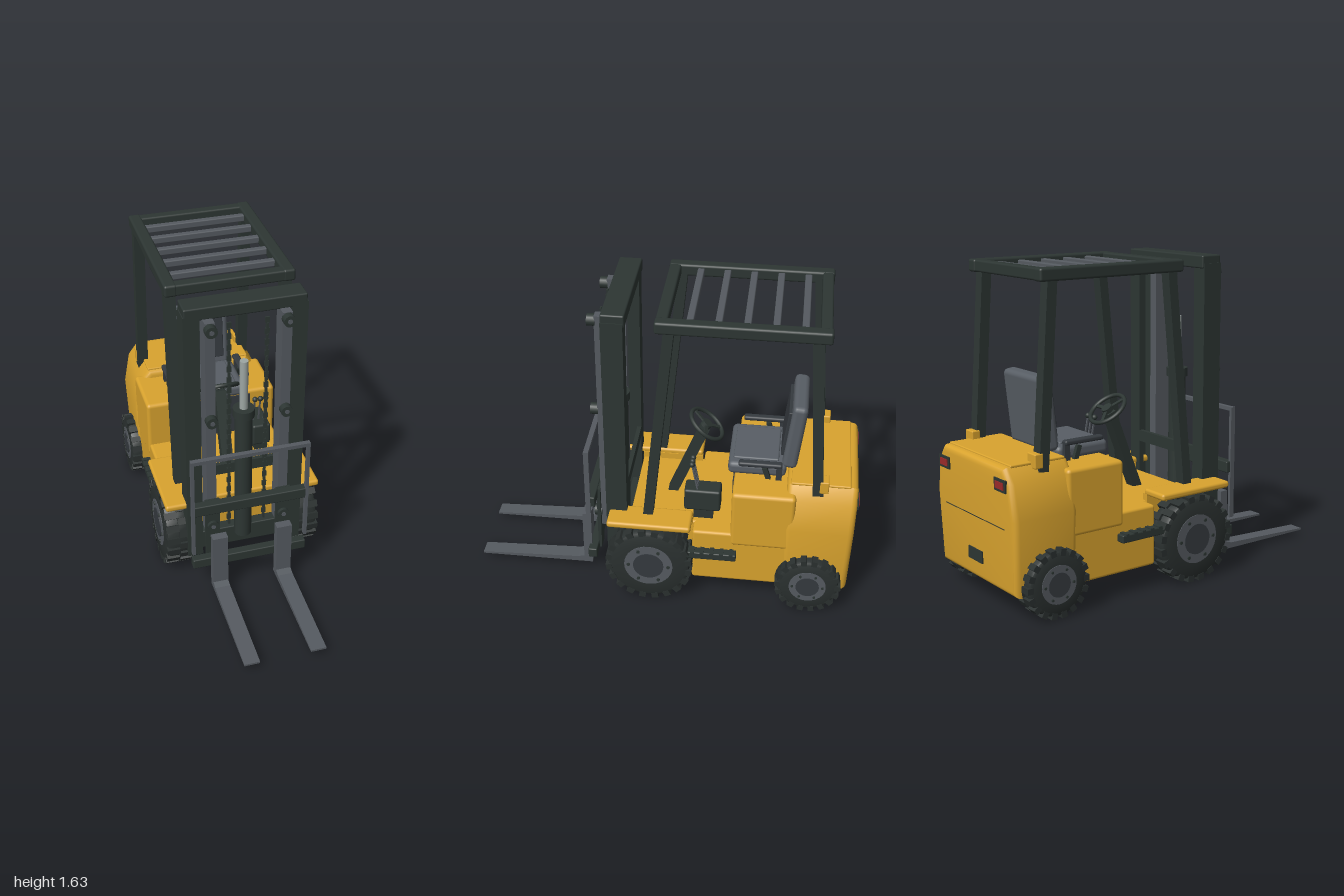
import * as THREE from 'three';
import { RoundedBoxGeometry } from 'three/addons/geometries/RoundedBoxGeometry.js';
import { toCreasedNormals } from 'three/addons/utils/BufferGeometryUtils.js';

const mat = (name, color) => {
  const m = new THREE.MeshStandardMaterial({ color });
  m.name = name;
  return m;
};

export function createModel() {
  const yellow = mat('yellow paint', 0xd9a32e);
  const dark = mat('dark frame', 0x2d3633);
  const rubber = mat('tyre rubber', 0x2a302f);
  const steel = mat('grey steel', 0x555a60);
  const vinyl = mat('seat vinyl', 0x585e65);
  const pad = mat('dark pad', 0x353a3f);
  const chrome = mat('piston rod', 0x9da6a3);
  const red = mat('tail lamp red', 0x9a2a2a);

  const model = new THREE.Group();
  const add = (name, geo, m, x = 0, y = 0, z = 0, parent = model) => {
    const mesh = new THREE.Mesh(geo, m);
    mesh.name = name;
    mesh.position.set(x, y, z);
    parent.add(mesh);
    return mesh;
  };
  // Box given by its limits on each axis, with optional rounded edges
  const box = (name, m, [x0, x1], [y0, y1], [z0, z1], r = 0, parent = model) => {
    const s = [x1 - x0, y1 - y0, z1 - z0];
    const geo = r ? new RoundedBoxGeometry(...s, 2, r) : new THREE.BoxGeometry(...s);
    return add(name, geo, m, (x0 + x1) / 2, (y0 + y1) / 2, (z0 + z1) / 2, parent);
  };
  // Straight bar in a plane of constant x, between two [y, z] points
  const beam = (name, m, x, [y0, z0], [y1, z1], w, d) => {
    const len = Math.hypot(y1 - y0, z1 - z0);
    const b = add(name, new THREE.BoxGeometry(w, len, d), m, x, (y0 + y1) / 2, (z0 + z1) / 2);
    b.rotation.x = Math.atan2(z1 - z0, y1 - y0);
    return b;
  };
  const cyl = (r, h, n = 24) => new THREE.CylinderGeometry(r, r, h, n);
  const both = (fn) => [1, -1].forEach(fn);
  const span = (s, a, b) => (s > 0 ? [a, b] : [-b, -a]);

  // Chassis, engine cover and floor
  box('frontChassis', yellow, [-0.275, 0.275], [0.13, 0.44], [-0.3, 0.17], 0.012);
  box('chassis', yellow, [-0.355, 0.355], [0.13, 0.44], [-0.7, -0.165], 0.015);
  box('engineCover', yellow, [-0.362, 0.362], [0.37, 0.7], [-0.68, -0.36], 0.02);
  box('engineGrille', pad, [-0.22, 0.22], [0.445, 0.68], [-0.362, -0.354]);

  // Counterweight: front outline with tapered shoulders, rear face leaning in at the foot
  const outline = [[0.325, 0.16], [0.34, 0.5], [0.31, 0.66], [0.27, 0.712]];
  const shape = new THREE.Shape();
  shape.moveTo(-0.325, 0.16);
  outline.forEach(([x, y]) => shape.lineTo(x, y));
  outline.slice(1).reverse().forEach(([x, y]) => shape.lineTo(-x, y));
  let cw = new THREE.ExtrudeGeometry(shape, {
    depth: 0.295, bevelEnabled: true, bevelSize: 0.03, bevelThickness: 0.03, bevelSegments: 4,
  });
  cw.translate(0, 0, -0.955);
  const p = cw.attributes.position;
  for (let i = 0; i < p.count; i++) {
    if (p.getZ(i) < -0.8) p.setZ(i, p.getZ(i) + (0.74 - p.getY(i)) * 0.025);
  }
  cw = toCreasedNormals(cw, 0.6);
  add('counterweight', cw, yellow);
  box('counterweightLid', yellow, [-0.29, 0.29], [0.735, 0.75], [-0.945, -0.65], 0.006);
  box('rearPlate', dark, [-0.065, 0.065], [0.225, 0.285], [-0.98, -0.968]);
  box('rearSeam', dark, [-0.28, 0.28], [0.448, 0.452], [-0.979, -0.976]);

  both((s) => {
    box('lampBezel', dark, span(s, 0.215, 0.315), [0.63, 0.69], [-0.99, -0.98]);
    box('tailLamp', red, span(s, 0.23, 0.3), [0.643, 0.677], [-0.994, -0.988]);
    box('pillarMount', yellow, span(s, 0.255, 0.325), [0.72, 0.79], [-0.835, -0.79], 0.006);
    // Fenders and steps
    box('fender', yellow, span(s, 0.255, 0.412), [0.465, 0.5], [-0.16, 0.27], 0.014);
    box('fenderSkirt', yellow, span(s, 0.25, 0.28), [0.42, 0.475], [-0.16, 0.17]);
    box('step', dark, span(s, 0.34, 0.4), [0.295, 0.335], [-0.395, -0.12], 0.006);
    for (let i = 0; i < 5; i++) {
      const z = -0.38 + i * 0.05;
      box('stepRib', dark, span(s, 0.355, 0.405), [0.33, 0.341], [z, z + 0.02]);
    }
  });

  // Wheels: rounded tyre, two staggered rows of lugs, rim with hub and bolts
  const wheel = (name, s, z, R, x0, x1, lugs) => {
    const g = new THREE.Group();
    g.name = name;
    const w = x1 - x0, h = w / 2, r = R - 0.012;
    const prof = [[R * 0.5, -h], [r * 0.9, -h], [r * 0.97, -h * 0.88], [r, -h * 0.65],
      [r, h * 0.65], [r * 0.97, h * 0.88], [r * 0.9, h], [R * 0.5, h]];
    const tyre = new THREE.LatheGeometry(prof.map(([a, b]) => new THREE.Vector2(a, b)), 40);
    add('tyre', toCreasedNormals(tyre, 0.6), rubber, 0, 0, 0, g);
    const lug = new THREE.BoxGeometry(0.032, w * 0.52, Math.PI * R / lugs);
    for (let i = 0; i < lugs * 2; i++) {
      const a = (i / lugs) * Math.PI;
      const m = add('treadLug', lug, rubber, Math.cos(a) * (R - 0.016),
        (i % 2 ? 1 : -1) * w * 0.25, -Math.sin(a) * (R - 0.016), g);
      m.rotation.y = a;
    }
    add('rim', cyl(R * 0.56, w + 0.006, 32), steel, 0, 0, 0, g);
    add('hub', cyl(R * 0.35, w + 0.014, 32), pad, 0, 0, 0, g);
    const bolt = cyl(R * 0.04, w + 0.018, 8);
    for (let i = 0; i < 6; i++) {
      const a = (i + 0.5) * Math.PI / 3;
      add('bolt', bolt, dark, Math.cos(a) * R * 0.46, 0, Math.sin(a) * R * 0.46, g);
    }
    g.rotation.z = -s * Math.PI / 2;
    g.position.set(s * (x0 + x1) / 2, R + 0.008, z);
    model.add(g);
  };
  both((s) => {
    wheel('frontWheel', s, 0.055, 0.226, 0.278, 0.412, 20);
    wheel('rearWheel', s, -0.77, 0.17, 0.3, 0.41, 18);
  });
  for (const [z, y] of [[0.055, 0.234], [-0.77, 0.178]]) {
    add('axle', cyl(0.04, 0.6), dark, 0, y, z).rotation.z = Math.PI / 2;
  }

  // Overhead guard
  both((s) => {
    beam('frontPillar', dark, s * 0.293, [0.49, 0.068], [1.59, -0.038], 0.056, 0.05);
    beam('rearPillar', dark, s * 0.293, [0.7, -0.785], [1.59, -0.722], 0.056, 0.052);
    box('guardSideRail', dark, span(s, 0.265, 0.328), [1.57, 1.632], [-0.79, 0.03], 0.012);
  });
  box('guardRearRail', dark, [-0.3, 0.3], [1.572, 1.63], [-0.785, -0.73], 0.01);
  box('guardFrontRail', dark, [-0.3, 0.3], [1.572, 1.63], [-0.03, 0.028], 0.01);
  for (let i = 0; i < 5; i++) {
    const z = -0.662 + i * 0.133;
    box('guardBar', steel, [-0.27, 0.27], [1.583, 1.618], [z - 0.017, z + 0.017], 0.006);
  }

  // Seat
  box('seatCushion', vinyl, [-0.185, 0.185], [0.695, 0.765], [-0.62, -0.325], 0.025);
  box('seatPad', vinyl, [-0.14, 0.14], [0.755, 0.775], [-0.58, -0.35], 0.008);
  const back = box('seatBack', vinyl, [-0.17, 0.17], [0.74, 1.11], [-0.69, -0.615], 0.025);
  back.rotation.x = -0.11;
  const backPad = box('backPad', pad, [-0.135, 0.135], [0.8, 1.06], [-0.62, -0.6], 0.005);
  backPad.rotation.x = -0.11;
  both((s) => {
    box('armrest', pad, span(s, 0.185, 0.225), [0.775, 0.8], [-0.6, -0.38], 0.01);
    box('armrestPost', pad, span(s, 0.195, 0.215), [0.69, 0.785], [-0.6, -0.57]);
    beam('beltBuckle', dark, s * 0.2, [0.69, -0.535], [0.765, -0.51], 0.02, 0.025);
  });

  // Steering column and wheel
  beam('steeringColumn', dark, 0, [0.43, -0.025], [0.85, -0.19], 0.06, 0.05);
  const steering = new THREE.Group();
  steering.name = 'steeringWheel';
  const ring = new THREE.TorusGeometry(0.1, 0.011, 8, 32);
  ring.rotateX(Math.PI / 2);
  add('ring', ring, dark, 0, 0, 0, steering);
  add('hub', cyl(0.028, 0.025, 16), dark, 0, 0, 0, steering);
  for (let i = 0; i < 3; i++) {
    const a = i * Math.PI * 2 / 3;
    const spoke = add('spoke', new THREE.BoxGeometry(0.1, 0.01, 0.018), dark,
      Math.cos(a) * 0.05, 0, -Math.sin(a) * 0.05, steering);
    spoke.rotation.y = a;
  }
  steering.position.set(0, 0.866, -0.198);
  steering.rotation.x = -0.64;
  model.add(steering);

  // Control console with levers
  box('console', dark, [0.165, 0.265], [0.505, 0.63], [-0.298, -0.112], 0.012);
  box('consoleStand', dark, [0.19, 0.24], [0.43, 0.51], [-0.26, -0.16]);
  for (let i = 0; i < 3; i++) {
    const x = 0.185 + i * 0.03;
    beam('lever', steel, x, [0.62, -0.18], [0.775, -0.15], 0.008, 0.008);
    add('leverKnob', new THREE.SphereGeometry(0.015, 12, 8), dark, x, 0.782, -0.149);
  }

  // Mast: outer channels, inner rails, rollers and chains
  const roller = cyl(0.03, 0.04, 16).rotateX(Math.PI / 2);
  const link = new THREE.BoxGeometry(0.022, 0.03, 0.008);
  const pin = new THREE.BoxGeometry(0.01, 0.03, 0.018);
  both((s) => {
    box('mastWeb', dark, span(s, 0.275, 0.305), [0.16, 1.6], [0.178, 0.285]);
    box('mastFrontFlange', dark, span(s, 0.225, 0.28), [0.16, 1.6], [0.255, 0.285]);
    box('mastRearFlange', dark, span(s, 0.225, 0.28), [0.16, 1.6], [0.178, 0.205]);
    box('innerRail', steel, span(s, 0.163, 0.212), [0.32, 1.58], [0.24, 0.33]);
    for (const y of [0.4, 1.045, 1.55]) {
      add('roller', roller, dark, s * 0.188, y, 0.346);
      add('rollerPin', cyl(0.012, 0.046, 12).rotateX(Math.PI / 2), steel, s * 0.188, y, 0.346);
    }
    for (let i = 0; i < 40; i++) {
      add('chainLink', i % 2 ? link : pin, dark, s * 0.093, 0.38 + i * 0.03, 0.315);
    }
  });
  box('mastTopBeam', dark, [-0.3, 0.3], [1.575, 1.64], [0.17, 0.285], 0.008);
  box('mastFootBeam', dark, [-0.29, 0.29], [0.16, 0.27], [0.18, 0.24], 0.006);
  box('mastMiddleBeam', dark, [-0.28, 0.28], [0.6, 0.66], [0.178, 0.2]);

  // Lift cylinder
  add('liftCylinder', cyl(0.045, 0.76), dark, 0, 0.62, 0.255);
  add('liftCollar', cyl(0.055, 0.045), dark, 0, 1.01, 0.255);
  add('liftRod', cyl(0.021, 0.29), chrome, 0, 1.16, 0.255);

  // Carriage, load backrest and forks
  box('upperCarriageBar', dark, [-0.305, 0.305], [0.505, 0.565], [0.345, 0.392], 0.006);
  box('lowerCarriageBar', dark, [-0.305, 0.305], [0.162, 0.217], [0.345, 0.392], 0.006);
  box('backrestTop', steel, [-0.308, 0.308], [0.832, 0.852], [0.368, 0.394]);
  const fork = new THREE.Shape();
  [[0.39, 0.375], [0.39, 0.045], [1, 0.042], [1, 0.052], [0.47, 0.075], [0.435, 0.085], [0.435, 0.375]]
    .forEach(([z, y], i) => (i ? fork.lineTo(z, y) : fork.moveTo(z, y)));
  const forkGeo = new THREE.ExtrudeGeometry(fork, { depth: 0.08, bevelEnabled: false });
  forkGeo.translate(0, 0, -0.04).rotateY(-Math.PI / 2);
  both((s) => {
    box('backrestPost', steel, span(s, 0.292, 0.308), [0.26, 0.85], [0.368, 0.394]);
    box('carriagePlate', dark, span(s, 0.15, 0.225), [0.17, 0.56], [0.332, 0.35]);
    add('fork', forkGeo, steel, s * 0.171, 0, 0);
  });
  return model;
}
